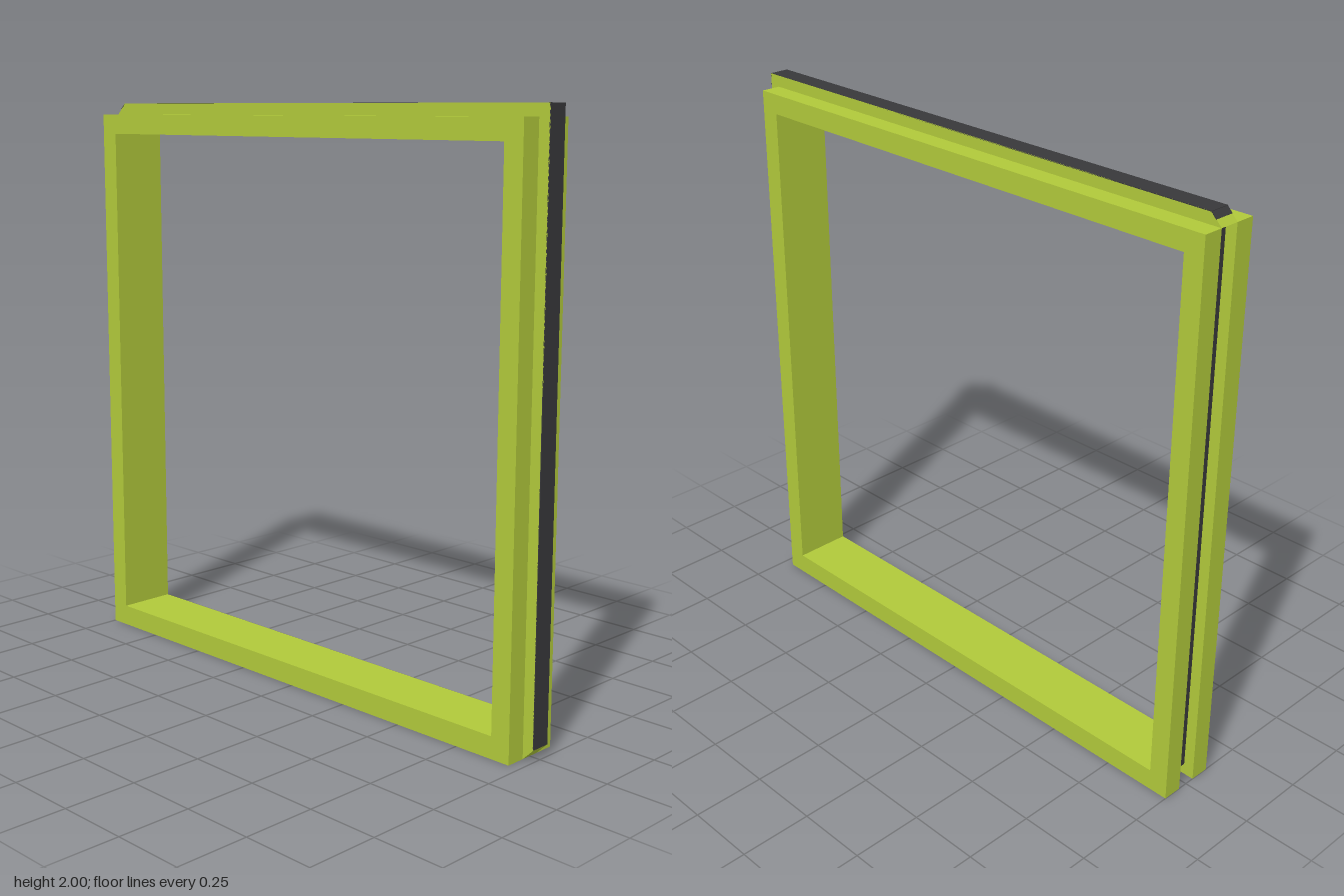
import * as THREE from 'three';

const green = new THREE.MeshStandardMaterial({ color: 0xb0c83a });
const dark = new THREE.MeshStandardMaterial({ color: 0x38383a });

const OPENING = [[-0.93, 0.075], [0.89, 0.075], [0.89, 1.89], [-0.93, 1.89]];
const HALF_GROOVE = 0.035;

// Ring with the square opening, extruded from z0 to z1
function ring(name, outline, z0, z1) {
  const toPoints = (list) => list.map(([x, y]) => new THREE.Vector2(x, y));
  const shape = new THREE.Shape(toPoints(outline));
  shape.holes.push(new THREE.Path(toPoints(OPENING)));
  const geometry = new THREE.ExtrudeGeometry(shape, { depth: z1 - z0, bevelEnabled: false });
  geometry.translate(0, 0, z0);
  const mesh = new THREE.Mesh(geometry, green);
  mesh.name = name;
  return mesh;
}

// Thin dark band lying on the edge that runs from a to b
function band(name, [ax, ay], [bx, by]) {
  const length = Math.hypot(bx - ax, by - ay);
  const mesh = new THREE.Mesh(new THREE.BoxGeometry(length, 0.003, HALF_GROOVE * 2), dark);
  mesh.position.set((ax + bx) / 2, (ay + by) / 2, 0);
  mesh.rotation.z = Math.atan2(by - ay, bx - ax);
  mesh.name = name;
  return mesh;
}

export function createModel() {
  const group = new THREE.Group();
  group.name = 'interlockingFrame';

  // Front and back square rings
  const square = [[-1, 0], [0.96, 0], [0.96, 1.96], [-1, 1.96]];
  group.add(ring('frontRing', square, HALF_GROOVE, 0.105));
  group.add(ring('backRing', square, -0.105, -HALF_GROOVE));

  // Middle ring: tongue on the top and +x side, groove on the bottom and -x side
  const core = [
    [-0.96, 0.04], [0.96, 0.04], [0.96, 0], [1, 0.04],
    [1, 2], [-0.96, 2], [-1, 1.96], [-0.96, 1.96],
  ];
  group.add(ring('tongueRing', core, -HALF_GROOVE, HALF_GROOVE));

  // Dark bands on the tongue and in the groove
  group.add(band('topBand', [-0.963, 1.999], [1, 1.999]));
  group.add(band('leftBand', [0.999, 0.04], [0.999, 2]));
  group.add(band('bottomGrooveBand', [-0.96, 0.04], [0.96, 0.04]));
  group.add(band('rightGrooveBand', [-0.96, 0.04], [-0.96, 1.96]));
  group.add(band('cornerBand', [-0.98, 1.98], [-0.962, 1.998]));

  return group;
}
